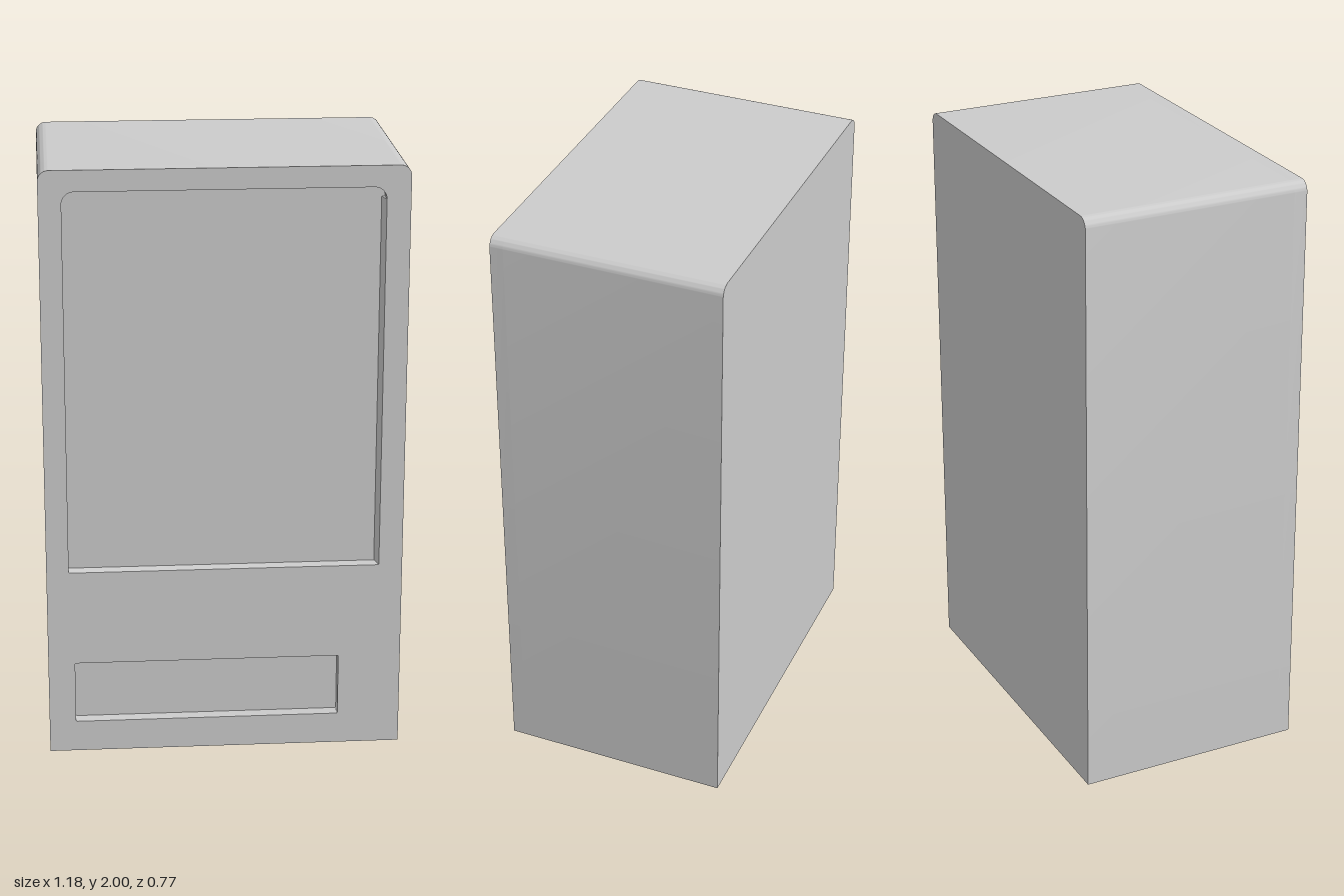
import * as THREE from 'three';
import { toCreasedNormals } from 'three/addons/utils/BufferGeometryUtils.js';

const W = 0.592, H = 2, D = 0.385; // half width, height, half depth
const RECESS = 0.045;

// Rectangle whose top and bottom corners have their own radii
function roundedRect(path, x0, y0, x1, y1, top, bottom) {
  path.moveTo(x0 + bottom, y0);
  path.lineTo(x1 - bottom, y0);
  if (bottom) path.absarc(x1 - bottom, y0 + bottom, bottom, -Math.PI / 2, 0);
  path.lineTo(x1, y1 - top);
  path.absarc(x1 - top, y1 - top, top, 0, Math.PI / 2);
  path.lineTo(x0 + top, y1);
  path.absarc(x0 + top, y1 - top, top, Math.PI / 2, Math.PI);
  path.lineTo(x0, y0 + bottom);
  if (bottom) path.absarc(x0 + bottom, y0 + bottom, bottom, Math.PI, Math.PI * 1.5);
  return path;
}

export function createModel() {
  const group = new THREE.Group();
  const material = new THREE.MeshStandardMaterial({ color: 0xcccccc });

  const addSlab = (name, shape, z, depth) => {
    const geometry = new THREE.ExtrudeGeometry(shape, { depth, bevelEnabled: false, curveSegments: 8 });
    const mesh = new THREE.Mesh(toCreasedNormals(geometry, 0.6), material);
    mesh.name = name;
    mesh.position.z = z;
    group.add(mesh);
    return mesh;
  };
  const outline = () => roundedRect(new THREE.Shape(), -W, 0, W, H, 0.035, 0);

  // Solid cabinet; its front closes the backs of both recesses
  addSlab('cabinet', outline(), -D, 2 * D - RECESS);

  // Front frame with the display window and the delivery slot cut through
  const frame = outline();
  frame.holes.push(
    roundedRect(new THREE.Path(), -0.518, 0.645, 0.514, 1.93, 0.04, 0.004),
    roundedRect(new THREE.Path(), -0.503, 0.107, 0.383, 0.32, 0.004, 0.004)
  );
  addSlab('frontFrame', frame, D - RECESS, RECESS);

  // Slightly slanted right wall of the window, a thin wedge set upright
  const wedge = new THREE.Shape([
    new THREE.Vector2(0.503, 0),
    new THREE.Vector2(0.514, -RECESS),
    new THREE.Vector2(0.514, 0),
  ]);
  const jamb = addSlab('windowJamb', wedge, D - RECESS, 1.245);
  jamb.rotation.x = -Math.PI / 2;
  jamb.position.y = 0.645;

  return group;
}
